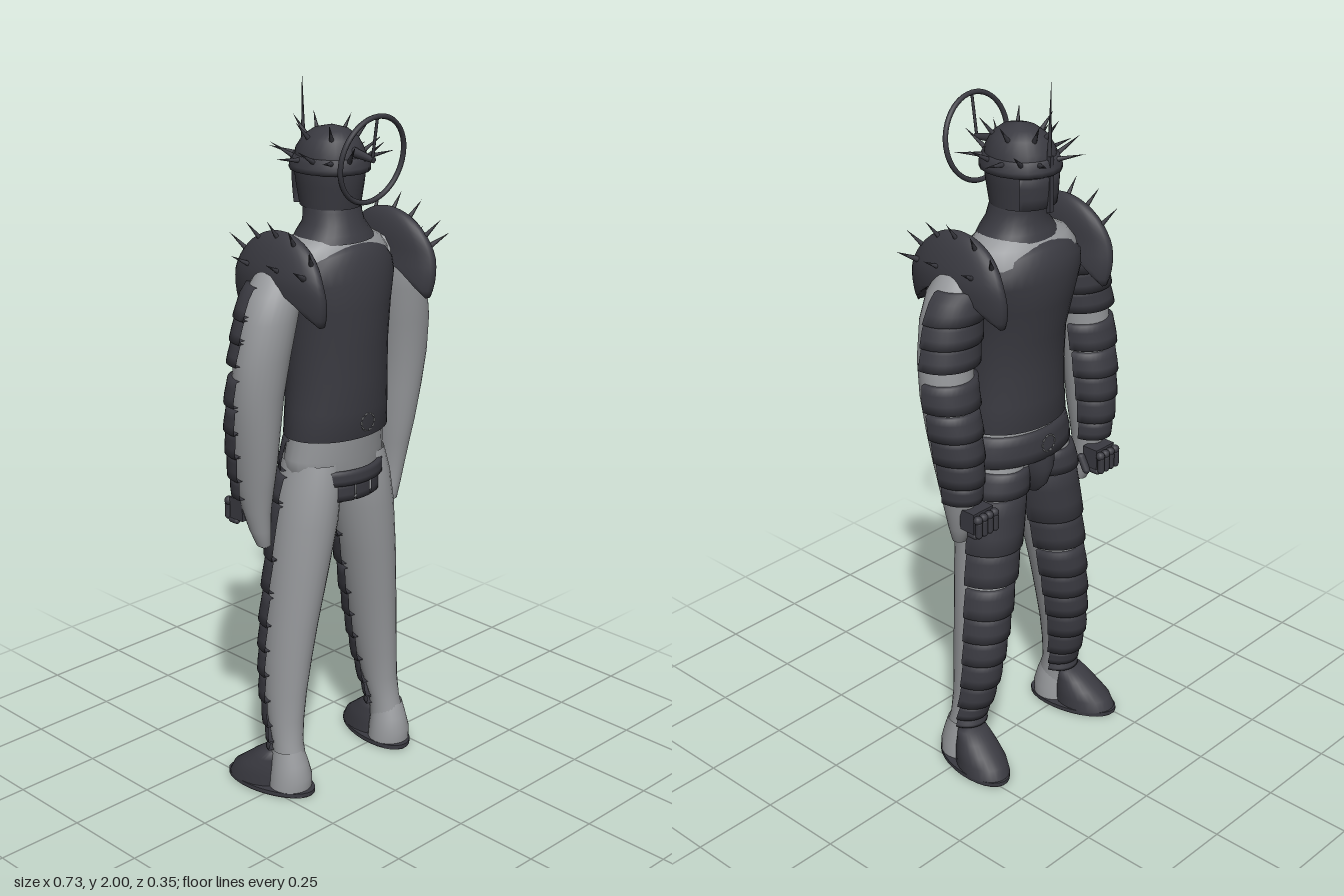
import * as THREE from 'three';

const skin = new THREE.MeshStandardMaterial({ name: 'grey suit', color: 0x97999c, side: THREE.DoubleSide });
const armour = new THREE.MeshStandardMaterial({ name: 'charcoal armour', color: 0x3a3a41, side: THREE.DoubleSide });
const UP = new THREE.Vector3(0, 1, 0);

function add(parent, name, geometry, material, x = 0, y = 0, z = 0) {
  const m = new THREE.Mesh(geometry, material);
  m.name = name;
  m.position.set(x, y, z);
  parent.add(m);
  return m;
}

// Surface through rows of [y, centreX, centreZ, radiusX, radiusZ], ascending in y.
// Angle 0 points to -z; a half angle of PI closes the tube.
function loft(rows, half = Math.PI, mid = 0, seg = 28) {
  const closed = half >= Math.PI, cols = closed ? seg : seg + 1;
  const pos = [], idx = [];
  rows.forEach(([y, cx, cz, rx, rz]) => {
    for (let j = 0; j < cols; j++) {
      const t = mid - half + (2 * half * j) / seg;
      pos.push(cx + rx * Math.sin(t), y, cz - rz * Math.cos(t));
    }
  });
  for (let i = 0; i < rows.length - 1; i++) {
    for (let j = 0; j < seg; j++) {
      const k = (j + 1) % cols, a = i * cols + j, b = i * cols + k;
      idx.push(a, a + cols, b, b, a + cols, b + cols);
    }
  }
  const g = new THREE.BufferGeometry();
  g.setAttribute('position', new THREE.Float32BufferAttribute(pos, 3));
  g.setIndex(idx);
  g.computeVertexNormals();
  return g;
}

// Profile row at height y
function rowAt(rows, y) {
  let i = 0;
  while (i < rows.length - 2 && rows[i + 1][0] < y) i++;
  const t = THREE.MathUtils.clamp((y - rows[i][0]) / (rows[i + 1][0] - rows[i][0]), 0, 1);
  return rows[i].map((v, k) => (k ? v + (rows[i + 1][k] - v) * t : y));
}

// Raised curved plate that follows a limb, with its edges turned in
function plate(parent, name, rows, y0, y1, half, mid = 0, lift = 0.013) {
  const steps = [[0, -0.002], [0.01, lift + 0.005], [0.35, lift + 0.003], [0.7, lift], [0.98, lift - 0.002], [1, -0.002]];
  const out = steps.map(([t, d]) => {
    const [y, cx, cz, rx, rz] = rowAt(rows, y0 + (y1 - y0) * t);
    return [y, cx, cz, rx + d, rz + d];
  });
  return add(parent, name, loft(out, half, mid, 18), armour);
}

function spike(parent, base, dir, length, radius = 0.008) {
  const d = new THREE.Vector3(...dir).normalize();
  const m = add(parent, 'spike', new THREE.ConeGeometry(radius, length, 8), armour);
  m.position.set(...base).addScaledVector(d, length * 0.45);
  m.quaternion.setFromUnitVectors(UP, d);
}

// Small ring of pale ticks
function tickRing(parent, y, z) {
  for (let i = 0; i < 10; i++) {
    const a = (i / 10) * Math.PI * 2;
    const m = add(parent, 'emblemTick', new THREE.BoxGeometry(0.009, 0.003, 0.004), skin,
      0.024 * Math.cos(a), y + 0.024 * Math.sin(a), z);
    m.rotation.z = a + Math.PI / 2;
  }
}

const mirror = (rows, s) => rows.map(([y, cx, ...r]) => [y, cx * s, ...r]);

const LEG = [
  [0.03, 0.2, 0.035, 0.05, 0.055], [0.08, 0.2, 0.025, 0.045, 0.055], [0.15, 0.197, 0.015, 0.043, 0.045],
  [0.22, 0.19, 0, 0.047, 0.058], [0.3, 0.183, -0.008, 0.053, 0.069], [0.4, 0.171, -0.01, 0.061, 0.077],
  [0.5, 0.158, -0.008, 0.067, 0.083], [0.65, 0.135, -0.002, 0.077, 0.09], [0.8, 0.11, 0.003, 0.085, 0.095],
  [0.9, 0.095, 0.002, 0.08, 0.097], [0.97, 0.085, 0, 0.07, 0.09]];
const ARM = [
  [0.745, 0.248, -0.015, 0.004, 0.004], [0.755, 0.248, -0.018, 0.02, 0.02], [0.8, 0.255, -0.025, 0.028, 0.032],
  [0.86, 0.262, -0.03, 0.035, 0.045], [0.93, 0.265, -0.032, 0.045, 0.06], [1.0, 0.268, -0.028, 0.053, 0.07],
  [1.1, 0.273, -0.018, 0.063, 0.073], [1.2, 0.275, -0.005, 0.071, 0.071], [1.3, 0.266, 0.005, 0.078, 0.072],
  [1.4, 0.247, 0.01, 0.079, 0.075], [1.47, 0.225, 0.008, 0.075, 0.074], [1.52, 0.2, 0.005, 0.06, 0.06],
  [1.55, 0.185, 0.002, 0.035, 0.035], [1.56, 0.18, 0, 0.003, 0.003]];
const TORSO = [
  [0.82, 0, 0, 0.02, 0.03], [0.86, 0, 0.003, 0.1, 0.08], [0.92, 0, 0.003, 0.16, 0.1], [0.98, 0, 0.002, 0.163, 0.1],
  [1.06, 0, 0.01, 0.148, 0.108], [1.2, 0, 0.012, 0.14, 0.113], [1.3, 0, 0.01, 0.142, 0.116],
  [1.4, 0, 0, 0.155, 0.13], [1.48, 0, -0.007, 0.178, 0.132], [1.53, 0, -0.01, 0.18, 0.12],
  [1.565, 0, -0.006, 0.155, 0.1], [1.59, 0, 0, 0.105, 0.085], [1.62, 0, 0, 0.06, 0.06]];

function buildLeg(g, s) {
  const rows = mirror(LEG, s);
  add(g, 'leg', loft(rows), skin);
  [[0.13, 0.15, 1.3], [0.155, 0.2, 1.35], [0.2, 0.275], [0.272, 0.352], [0.35, 0.427], [0.425, 0.503], [0.5, 0.585],
    [0.6, 0.7], [0.695, 0.85], [0.86, 0.93]].forEach(([a, b, h = 1.45]) => plate(g, 'legPlate', rows, a, b, h));

  // Boot, turned outwards
  const foot = new THREE.Group();
  foot.name = 'foot';
  foot.position.set(0.208 * s, 0, 0);
  foot.rotation.y = -0.2 * s;
  g.add(foot);
  add(foot, 'soleUnderside', new THREE.CylinderGeometry(1, 1, 0.004, 28), skin, 0, 0.002, -0.035).scale.set(0.068, 1, 0.138);
  add(foot, 'soleRim', new THREE.CylinderGeometry(1, 1, 0.012, 28), armour, 0, 0.01, -0.035).scale.set(0.072, 1, 0.142);
  add(foot, 'heel', loft([[0.014, 0, 0.03, 0.06, 0.062], [0.05, 0, 0.032, 0.058, 0.062], [0.09, 0, 0.028, 0.05, 0.055],
    [0.13, 0, 0.022, 0.043, 0.045]]), skin);
  add(foot, 'toeCap', loft([[0.014, 0, -0.075, 0.067, 0.096], [0.045, 0, -0.067, 0.065, 0.088], [0.07, 0, -0.052, 0.06, 0.07],
    [0.095, 0, -0.038, 0.052, 0.052], [0.118, 0, -0.022, 0.044, 0.034], [0.124, 0, -0.02, 0.003, 0.003]]), armour);
  [[-0.055, 0.062, 0.09], [-0.1, 0.056, 0.064]].forEach(([z, rx, ry]) =>
    add(foot, 'bootBand', new THREE.TorusGeometry(1, 0.07, 6, 20, Math.PI), armour, 0, 0.014, z).scale.set(rx, ry, 0.08));
}

function buildArm(g, s) {
  const rows = mirror(ARM, s);
  add(g, 'arm', loft(rows), skin);
  [[0.9, 0.955], [0.955, 1.03], [1.025, 1.1], [1.095, 1.165], [1.175, 1.25], [1.29, 1.36], [1.35, 1.42], [1.41, 1.49]]
    .forEach(([a, b]) => plate(g, 'armPlate', rows, a, b, 1.5, 0.12 * s, 0.014));

  // Gauntlet with curled fingers
  add(g, 'gauntlet', new THREE.BoxGeometry(0.075, 0.06, 0.05), armour, 0.25 * s, 0.85, -0.085);
  for (let i = 0; i < 4; i++) {
    const x = (0.218 + i * 0.021) * s;
    add(g, 'knuckle', new THREE.SphereGeometry(0.013, 10, 8), armour, x, 0.865, -0.12);
    add(g, 'finger', new THREE.CapsuleGeometry(0.01, 0.035, 4, 8), armour, x, 0.838, -0.123);
    add(g, 'fingertip', new THREE.CapsuleGeometry(0.009, 0.02, 4, 8), armour, x, 0.813, -0.1).rotation.x = Math.PI / 2;
  }
  add(g, 'thumb', new THREE.CapsuleGeometry(0.011, 0.04, 4, 8), armour, 0.205 * s, 0.83, -0.07).rotation.x = 0.5;

  // Saddle-shaped shoulder guard, arched over the arm
  const geo = new THREE.SphereGeometry(1, 28, 24);
  const p = geo.attributes.position;
  for (let i = 0; i < p.count; i++) {
    const z = p.getZ(i) * 0.165, arch = -0.085 + 0.115 * (1 - (z / 0.165) ** 2);
    const y = Math.max(p.getY(i) * 0.165, arch);
    p.setXYZ(i, p.getX(i) * 0.05 + s * 0.05 * (0.35 - Math.abs(y - 0.05) * 4) * 0.5, y, z);
  }
  geo.computeVertexNormals();
  add(g, 'shoulderGuard', geo, armour, 0.202 * s, 1.46, 0.012);
  [-0.12, -0.065, 0, 0.06, 0.12].forEach((z) => {
    const y = 1.46 + 0.155 * Math.sqrt(1 - (z / 0.165) ** 2);
    spike(g, [0.21 * s, y - 0.01, z + 0.012], [0.6 * s, 0.8, z * 4], 0.07);
  });
  [-0.08, 0.035, 0.12].forEach((z) => spike(g, [0.24 * s, 1.53, z + 0.012], [s, 0.55, z * 3], 0.065));
}

function buildHead(g) {
  add(g, 'collar', loft([[1.575, 0, 0, 0.118, 0.1], [1.595, 0, 0, 0.105, 0.092], [1.62, 0, 0, 0.085, 0.08],
    [1.65, 0, -0.005, 0.08, 0.076], [1.68, 0, -0.01, 0.07, 0.07]]), armour);
  const helm = [[1.66, 0, -0.012, 0.078, 0.085], [1.72, 0, -0.013, 0.086, 0.096], [1.77, 0, -0.013, 0.092, 0.102],
    [1.81, 0, -0.012, 0.086, 0.096], [1.84, 0, -0.01, 0.069, 0.078], [1.86, 0, -0.008, 0.044, 0.05], [1.872, 0, -0.006, 0.003, 0.003]];
  add(g, 'helmet', loft(helm), armour);
  plate(g, 'browBand', helm, 1.755, 1.795, Math.PI, 0, 0.008);
  plate(g, 'facePlate', helm, 1.665, 1.75, 0.9, 0, 0.009);

  // Two crowns of spikes
  for (const s of [-1, 1]) {
    [0.35, 0.85, 1.35, 1.85, 2.35, 2.85].forEach((a, i) => {
      const x = s * Math.sin(a), z = -Math.cos(a);
      spike(g, [x * 0.088, 1.785, -0.012 + z * 0.098], [x, i % 2 ? 0.55 : 0.15, z * 0.55], 0.085);
      if (i % 2 === 0) spike(g, [x * 0.06, 1.835, -0.012 + z * 0.07], [x * 0.8, 0.9, z * 0.6], 0.07);
    });
  }
  spike(g, [0, 1.77, -0.112], [0, 1, -0.02], 0.242, 0.008);
  add(g, 'noseBar', new THREE.BoxGeometry(0.014, 0.15, 0.012), armour, 0, 1.73, -0.116);

  // Halo behind the head
  const halo = new THREE.Group();
  halo.name = 'halo';
  halo.position.set(0, 1.8, 0.142);
  halo.rotation.x = 0.15;
  g.add(halo);
  add(halo, 'haloRing', new THREE.TorusGeometry(0.115, 0.007, 8, 48), armour);
  add(halo, 'haloBar', new THREE.CylinderGeometry(0.004, 0.004, 0.12, 8), armour, 0, 0.06, 0);
  add(halo, 'haloMount', new THREE.CylinderGeometry(0.008, 0.014, 0.08, 10), armour, 0, 0, -0.035).rotation.x = Math.PI / 2;
}

export function createModel() {
  const g = new THREE.Group();
  g.name = 'armouredFigure';
  add(g, 'torso', loft(TORSO), skin);

  // Vest, its upper edge dropping towards the shoulders
  const ys = [1.04, 1.042, 1.12, 1.2, 1.3, 1.4, 1.48, 1.53, 1.56, 1.57];
  const vest = loft(ys.map((y, i) => {
    const [, cx, cz, rx, rz] = rowAt(TORSO, y), d = i === 0 || i === 9 ? 0 : 0.012;
    return [y, cx, cz, rx + d, rz + d];
  }), Math.PI, 0, 40);
  const p = vest.attributes.position;
  for (let i = 0; i < p.count; i++) {
    const y = p.getY(i), side = Math.min(1, Math.abs(p.getX(i)) / 0.18);
    if (y > 1.45) p.setY(i, y - 0.4 * (y - 1.45) * side * side);
  }
  vest.computeVertexNormals();
  add(g, 'vest', vest, armour);
  tickRing(g, 1.085, 0.133);

  // Belt, groin guard and rear flap
  plate(g, 'belt', TORSO, 0.945, 1.03, 1.35, 0, 0.014);
  tickRing(g, 0.99, -0.119);
  add(g, 'groinGuard', loft([[0.83, 0, 0, 0.025, 0.08], [0.86, 0, 0, 0.045, 0.108], [0.91, 0, 0, 0.075, 0.122],
    [0.95, 0, 0, 0.09, 0.116]], 1.2), armour);
  const seat = [[0.85, 0, 0, 0.12, 0.1], [0.95, 0, 0, 0.135, 0.115]];
  plate(g, 'rearFlapUpper', seat, 0.91, 0.95, 1.05, Math.PI, 0.012);
  for (const a of [-0.42, 0, 0.42]) plate(g, 'rearFlapLower', seat, 0.862, 0.915, 0.19, Math.PI + a, 0.01);

  for (const s of [-1, 1]) {
    buildLeg(g, s);
    buildArm(g, s);
  }
  buildHead(g);
  return g;
}
